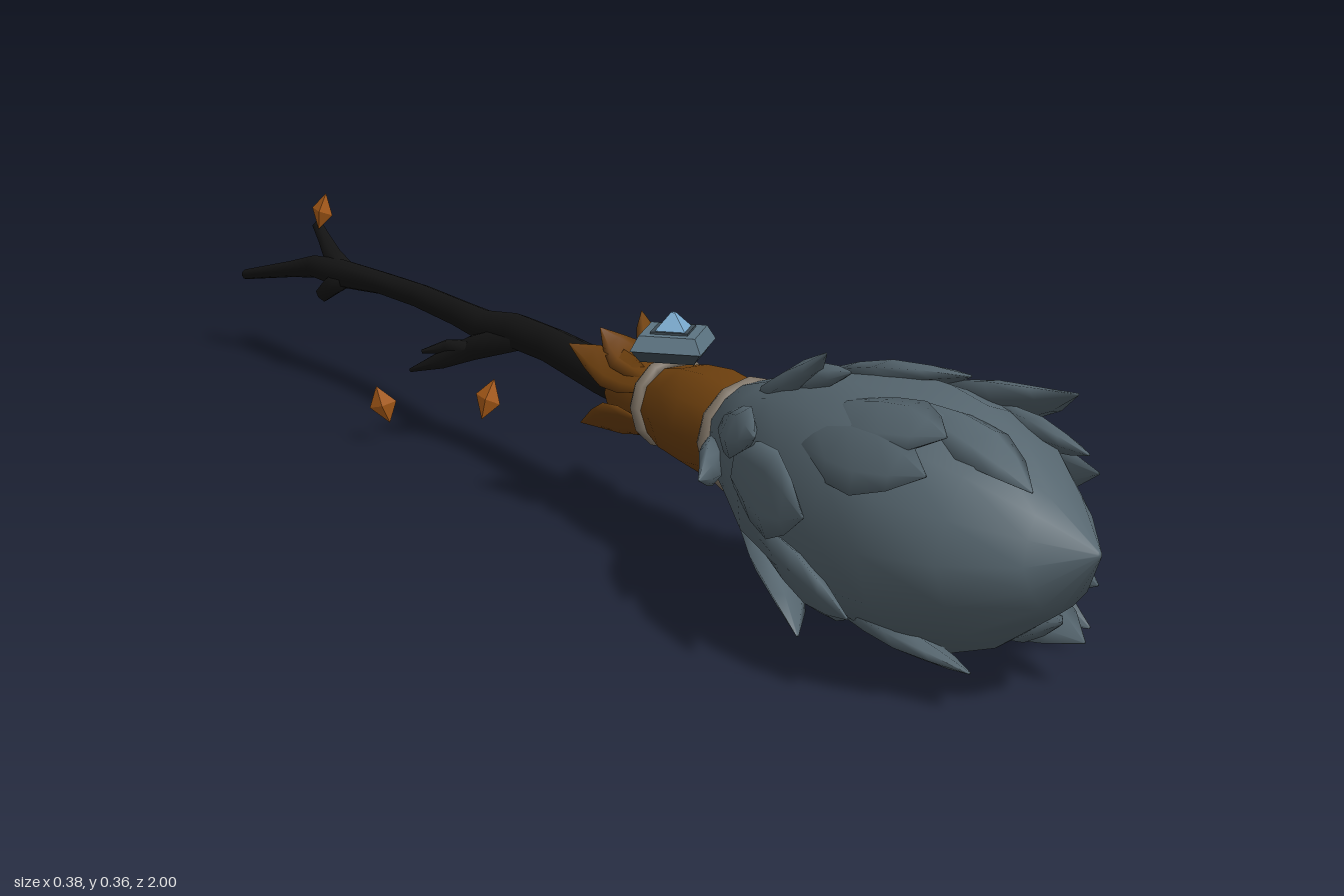
import * as THREE from 'three';

const mat = (name, color) => {
  const m = new THREE.MeshStandardMaterial({ color, side: THREE.DoubleSide });
  m.name = name;
  return m;
};

// Sweep an elliptical section along rings of [x, y, z, sideRadius, upRadius]
function sweep(rings, sides, up = new THREE.Vector3(0, 1, 0), wobble = 0, caps = true) {
  const P = rings.map(r => new THREE.Vector3(r[0], r[1], r[2]));
  const pos = [], idx = [], n = rings.length;
  P.forEach((p, i) => {
    const t = P[Math.min(i + 1, n - 1)].clone().sub(P[Math.max(i - 1, 0)]).normalize();
    const side = up.clone().cross(t).normalize(), v = t.clone().cross(side);
    for (let j = 0; j < sides; j++) {
      const a = j / sides * Math.PI * 2;
      const k = 1 + wobble * Math.sin(j * 2.4 + i * 0.5);
      const q = p.clone().addScaledVector(side, Math.cos(a) * rings[i][3] * k)
        .addScaledVector(v, Math.sin(a) * rings[i][4] * k);
      pos.push(q.x, q.y, q.z);
    }
  });
  for (let i = 0; i < n - 1; i++) for (let j = 0; j < sides; j++) {
    const a = i * sides + j, b = i * sides + (j + 1) % sides;
    idx.push(a, b, b + sides, a, b + sides, a + sides);
  }
  if (caps) {
    const s = n * sides, e = (n - 1) * sides;
    pos.push(...P[0].toArray(), ...P[n - 1].toArray());
    for (let j = 0; j < sides; j++) {
      const k = (j + 1) % sides;
      idx.push(s, k, j, s + 1, e + j, e + k);
    }
  }
  const g = new THREE.BufferGeometry();
  g.setAttribute('position', new THREE.Float32BufferAttribute(pos, 3));
  g.setIndex(idx);
  g.computeVertexNormals();
  return g;
}

export function createModel() {
  const root = new THREE.Group();
  root.name = 'broom';
  const bristle = mat('slate bristle', 0x56666f), leather = mat('brown leather', 0x6e400e);
  const wood = mat('black wood', 0x141414), leafMat = mat('orange leaf', 0xb5621a);
  const cord = mat('taupe cord', 0x7d7264), metal = mat('steel', 0x5c7482);
  const darkMetal = mat('dark steel', 0x3f4d56), gemMat = mat('blue gem', 0x78a8cc);
  const add = (name, geo, material, parent = root) => {
    const m = new THREE.Mesh(geo, material);
    m.name = name;
    parent.add(m);
    return m;
  };

  // Bristle head: x, y, z, half width, half height
  const head = [
    [0, .18, .33, .06, .065], [0, .182, .42, .096, .095], [-.003, .182, .52, .136, .13],
    [0, .18, .62, .16, .15], [0, .18, .72, .168, .155], [0, .182, .80, .16, .148],
    [.008, .185, .88, .125, .12], [.025, .19, .95, .07, .07], [.04, .2, 1, .004, .004]];
  add('bristleHead', sweep(head, 14, undefined, .03), bristle);

  // Point on the head surface at a depth z and angle a
  const onHead = (z, a, k) => {
    let i = 0;
    while (i < head.length - 2 && head[i + 1][2] < z) i++;
    const f = (z - head[i][2]) / (head[i + 1][2] - head[i][2]);
    const r = head[i].map((v, c) => v + (head[i + 1][c] - v) * f);
    return new THREE.Vector3(r[0] + Math.cos(a) * r[3] * k, r[1] + Math.sin(a) * r[4] * k, z);
  };
  // Flat pointed blade through three points
  const blade = (a, b, c, w, thick, out) => {
    const curve = new THREE.QuadraticBezierCurve3(a, b, c);
    const widths = [.55, .9, 1, .62, .03];
    return sweep(widths.map((k, i) => [...curve.getPoint(i / 4).toArray(), w * k, thick * Math.max(k, .1)]), 6, out);
  };

  // Lifted tufts: tip x, y, z, length, half width
  const tufts = [
    [-.068, .36, .61, .17, .03], [.115, .343, .86, .24, .05], [.05, .346, .74, .25, .06],
    [-.09, .328, .88, .22, .05], [.185, .225, .82, .26, .055], [.172, .035, .83, .26, .05],
    [.05, .002, .73, .22, .045], [-.11, .012, .62, .2, .05], [-.188, .21, .74, .24, .055],
    [-.165, .1, .80, .24, .05], [-.125, .29, .89, .24, .05], [.155, .2, .49, .11, .03],
    [-.145, .17, .45, .1, .03], [.085, .29, .92, .2, .035], [.03, .105, .95, .18, .035],
    [-.07, .05, .91, .24, .05], [.09, .06, .92, .22, .045], [-.045, .338, .63, .15, .025],
    [.14, .11, .88, .2, .04], [.145, .29, .7, .22, .04], [-.15, .26, .58, .18, .035],
    [-.02, .02, .57, .16, .035], [.13, .07, .62, .18, .04], [-.02, .27, .95, .2, .04]];
  const tuftGroup = new THREE.Group();
  tuftGroup.name = 'bristleTufts';
  root.add(tuftGroup);
  for (const [x, y, z, len, w] of tufts) {
    const a = Math.atan2(y - .182, x), out = new THREE.Vector3(Math.cos(a), Math.sin(a), 0);
    add('tuft', blade(onHead(z - len, a, .93), onHead(z - len * .4, a, 1.02),
      new THREE.Vector3(x, y, z), w, .016, out), bristle, tuftGroup);
  }

  // Crooked handle and its twigs
  add('handle', sweep([
    [-.005, .178, .12, .034, .034], [-.005, .178, .0, .031, .031], [0, .183, -.16, .026, .027],
    [-.008, .185, -.25, .026, .027], [-.018, .178, -.32, .025, .024], [-.008, .174, -.42, .021, .021],
    [-.005, .172, -.55, .02, .019], [-.013, .17, -.66, .02, .018], [-.03, .165, -.77, .024, .023],
    [-.042, .163, -.84, .018, .018], [-.056, .148, -.90, .013, .013], [-.092, .124, -.995, .009, .008]], 8), wood);
  const twigs = [
    [[-.01, .18, -.24, .022, .022], [-.04, .15, -.32, .02, .02], [-.075, .128, -.355, .014, .014], [-.105, .106, -.398, .003, .003]],
    [[-.03, .165, -.74, .018, .018], [-.022, .178, -.81, .017, .017], [-.018, .2, -.85, .012, .012], [-.017, .22, -.88, .009, .009]],
    [[-.03, .165, -.75, .018, .018], [-.045, .145, -.775, .016, .016], [-.056, .128, -.79, .012, .012]],
    [[-.04, .15, -.31, .014, .014], [-.07, .148, -.35, .011, .011], [-.1, .14, -.37, .003, .003]]];
  twigs.forEach(t => add('twig', sweep(t, 6), wood));

  // Folded diamond leaves: x, y, z, half height, tilt, turn
  for (const [x, y, z, h, tilt, turn] of [
    [-.035, .078, -.29, .032, .3, .5], [-.15, .06, -.40, .03, -.45, .8], [-.02, .247, -.855, .03, .2, .4]]) {
    const leaf = add('leaf', new THREE.OctahedronGeometry(1).scale(.008, h, .021), leafMat);
    leaf.position.set(x, y, z);
    leaf.rotation.set(tilt, turn, -tilt);
  }

  // Leather sleeve with flared pointed flaps
  add('sleeve', sweep([
    [0, .178, .07, .054, .056], [0, .176, .12, .052, .053], [0, .176, .16, .053, .054],
    [0, .177, .21, .069, .066], [0, .178, .27, .075, .072], [0, .18, .345, .064, .066]], 10, undefined, 0, false), leather);
  const flaps = [[.082, .235, .035], [-.082, .24, .025], [.03, .272, .03], [-.045, .262, .045],
    [.066, .125, .03], [-.07, .13, .035], [0, .106, .03]];
  for (const [x, y, z] of flaps) {
    const a = Math.atan2(y - .177, x), c = Math.cos(a), s = Math.sin(a);
    add('sleeveFlap', blade(new THREE.Vector3(c * .048, .177 + s * .05, .14),
      new THREE.Vector3(c * .05, .177 + s * .05, .08), new THREE.Vector3(x, y, z),
      .03, .006, new THREE.Vector3(c, s, 0)), leather);
  }

  // Bindings
  const ring = (name, r, tube, z, material) =>
    add(name, new THREE.TorusGeometry(r, tube, 6, 12), material).position.set(0, .179, z);
  ring('headBinding', .067, .012, .342, cord);
  ring('claspStrap', .055, .01, .155, cord);

  // Diamond clasp with a faceted gem
  const clasp = new THREE.Group();
  clasp.name = 'clasp';
  clasp.position.set(.005, 0, .15);
  root.add(clasp);
  const slab = (name, top, bottom, h, y, material) => {
    const g = new THREE.CylinderGeometry(top, bottom, h, 4).toNonIndexed();
    g.computeVertexNormals();
    add(name, g, material, clasp).position.y = y;
  };
  slab('claspBase', .066, .052, .016, .247, darkMetal);
  slab('claspPlate', .054, .068, .02, .265, metal);
  slab('gemSeat', .036, .036, .004, .276, darkMetal);
  slab('gem', .004, .031, .024, .288, gemMat);
  return root;
}
